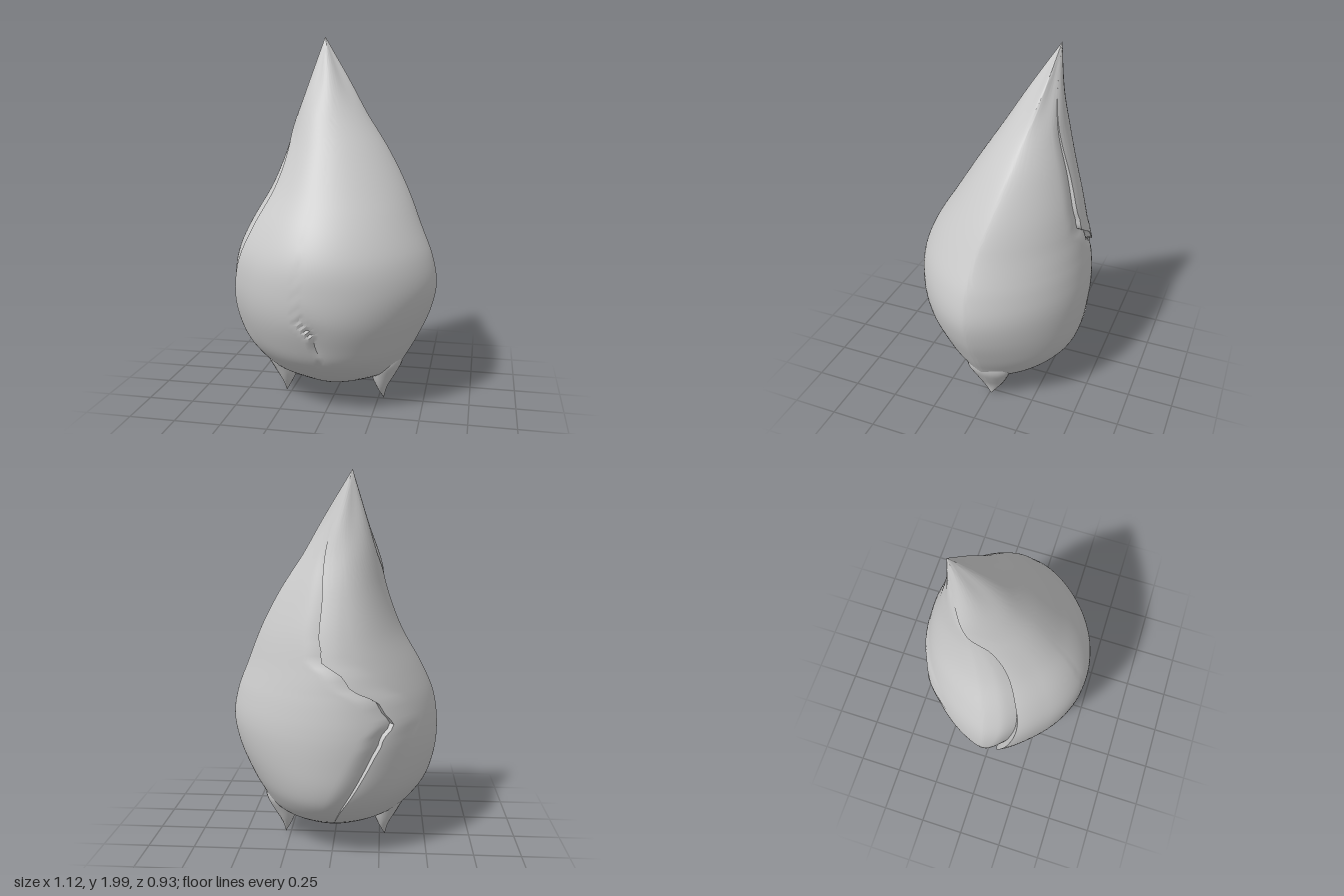
import * as THREE from 'three';
import { toCreasedNormals } from 'three/addons/utils/BufferGeometryUtils.js';

// Bulb extents by height: y, xMin, xMax, zBack, zFront, ridge x, ridge z
const BODY = [
  [0.095, 0, 0, -0.01, 0.01, 0, 0], [0.12, -0.12, 0.12, -0.12, 0.08, 0, 0],
  [0.15, -0.23, 0.23, -0.2, 0.14, 0, 0], [0.2, -0.35, 0.34, -0.29, 0.22, 0, 0],
  [0.3, -0.45, 0.41, -0.385, 0.33, 0, 0], [0.4, -0.51, 0.465, -0.43, 0.39, -0.01, 0],
  [0.55, -0.55, 0.53, -0.455, 0.45, -0.02, 0.01], [0.7, -0.555, 0.56, -0.465, 0.47, -0.03, 0.02],
  [0.85, -0.53, 0.535, -0.455, 0.46, -0.03, 0.02], [1, -0.465, 0.475, -0.435, 0.4, -0.03, 0],
  [1.2, -0.355, 0.39, -0.4, 0.275, -0.03, -0.05], [1.4, -0.28, 0.28, -0.35, 0.15, -0.04, -0.1],
  [1.6, -0.23, 0.145, -0.3, 0.02, -0.06, -0.15], [1.8, -0.165, 0.02, -0.262, -0.11, -0.08, -0.2],
  [2, -0.1, -0.1, -0.24, -0.24, -0.1, -0.24],
];
// Seam angles by height, in units of PI (0 = +x, 0.5 = front)
const SIDE_SEAM = [[0.095, 0.84], [0.3, 0.86], [0.45, 0.9], [0.7, 0.86], [1, 0.82], [1.4, 0.84], [1.6, 1.06], [2, 1.1]];
const BACK_SEAM = [[0.095, 1.5], [0.18, 1.49], [0.6, 1.38], [0.8, 1.33], [0.95, 1.44], [1.1, 1.545], [1.4, 1.58], [1.7, 1.67], [2, 1.7]];
// Front crease x by height
const CREASE = [[0.095, 0], [0.4, -0.02], [0.5, -0.05], [0.6, -0.11], [1.3, -0.06], [2, -0.1]];

// Smooth interpolation of one table column at height y
function sample(table, y, col) {
  let i = 0;
  while (i < table.length - 2 && y > table[i + 1][0]) i++;
  const slope = (k) => {
    const a = table[Math.max(k - 1, 0)], b = table[Math.min(k + 1, table.length - 1)];
    return (b[col] - a[col]) / (b[0] - a[0]);
  };
  const p = table[i], q = table[i + 1], h = q[0] - p[0], t = (y - p[0]) / h;
  return p[col] * (1 + 2 * t) * (1 - t) ** 2 + q[col] * t * t * (3 - 2 * t)
    + h * (slope(i) * t * (1 - t) ** 2 - slope(i + 1) * t * t * (1 - t));
}

const smooth = THREE.MathUtils.smoothstep;

// Point on the bulb at an angle and height, pushed in or out by offset
function bulbPoint(angle, y, offset) {
  const [x0, x1, z0, z1, xc, zc] = [1, 2, 3, 4, 5, 6].map((c) => sample(BODY, y, c));
  const c = Math.cos(angle), s = Math.sin(angle);
  const px = c * (c > 0 ? x1 - xc : xc - x0);
  const pz = Math.sign(s) * Math.abs(s) ** 1.4 * (s > 0 ? z1 - zc : zc - z0);
  // Pleats at the tip and the crease down the front
  let k = 1 + offset + 0.07 * Math.cos(5 * angle) * smooth(y, 1.55, 1.85);
  const dx = xc + px - sample(CREASE, y, 1);
  if (s > 0 && dx > 0) {
    const depth = 0.05 * smooth(y, 0.12, 0.45) * (1 - smooth(y, 0.5, 0.68))
      + 0.006 * smooth(y, 0.55, 0.7) * (1 - smooth(y, 1.1, 1.35));
    k -= depth * Math.exp(-dx / 0.06);
  }
  return [xc + px * k, y, zc + pz * k];
}

// Grid of points(row, column) turned into an outward-facing surface
function gridGeometry(rows, cols, point, crease) {
  const pos = [], index = [];
  for (let j = 0; j <= rows; j++) {
    for (let i = 0; i <= cols; i++) {
      pos.push(...point(j, i));
      if (j < rows && i < cols) {
        const a = j * (cols + 1) + i, c = a + cols + 1;
        index.push(a, c, a + 1, a + 1, c, c + 1);
      }
    }
  }
  const g = new THREE.BufferGeometry();
  g.setAttribute('position', new THREE.Float32BufferAttribute(pos, 3));
  g.setIndex(index);
  g.computeVertexNormals();
  return crease ? toCreasedNormals(g, crease) : g;
}

// Papery scale: tucked under its neighbour at the start, raised lip at the end
function scaleGeometry(startAngle, endAngle, cols) {
  const rows = 72;
  return gridGeometry(rows, cols, (j, i) => {
    const y = 0.095 + 1.905 * (j / rows) ** 1.35;
    const lift = smooth(y, 0.16, 0.4) * (1 - smooth(y, 1.55, 1.8));
    const start = startAngle(y), end = endAngle(y);
    const u = Math.min(i / (cols - 1), 1);
    const angle = start - 0.15 + (end - start + 0.15) * u;
    const tuck = 1 - smooth(angle - start, -0.15, 0.22);
    const lip = smooth(angle - end, -0.4, 0);
    let offset = lip * 0.022 * lift - tuck * (0.008 + 0.07 * lift);
    if (i === cols) offset -= 0.015 + 0.06 * lift;
    return bulbPoint(angle, y, offset);
  }, 0.8);
}

// Curved root spur: y, centre x, half width, half depth
const SPUR = [[0.015, 0.28, 0, 0], [0.06, 0.272, 0.018, 0.035], [0.1, 0.27, 0.036, 0.065],
  [0.17, 0.277, 0.07, 0.1], [0.25, 0.3, 0.085, 0.13], [0.34, 0.32, 0.07, 0.1]];
function spurGeometry(side) {
  const rows = 14, cols = 20;
  return gridGeometry(rows, cols, (j, i) => {
    const y = 0.015 + 0.325 * j / rows, a = i / cols * Math.PI * 2;
    return [side * sample(SPUR, y, 1) + sample(SPUR, y, 2) * Math.cos(a), y,
      sample(SPUR, y, 3) * Math.sin(a) - 0.01];
  });
}

export function createModel() {
  const group = new THREE.Group();
  group.name = 'bulb';
  const material = new THREE.MeshStandardMaterial({ color: 0xcccccc, side: THREE.DoubleSide });
  const add = (name, geometry) => {
    const mesh = new THREE.Mesh(geometry, material);
    mesh.name = name;
    group.add(mesh);
  };

  const sideSeam = (y) => Math.PI * sample(SIDE_SEAM, y, 1);
  // The back seam has a ragged edge around mid height
  const backSeam = (y) => Math.PI * sample(BACK_SEAM, y, 1)
    + 0.035 * Math.sin(y * 48) * smooth(y, 0.6, 0.75) * (1 - smooth(y, 1.05, 1.2));

  // Two overlapping scales wrap the bulb
  add('frontScale', scaleGeometry((y) => backSeam(y) - 2 * Math.PI, sideSeam, 110));
  add('sideScale', scaleGeometry(sideSeam, backSeam, 60));

  // Root spurs underneath
  add('leftRootSpur', spurGeometry(1));
  add('rightRootSpur', spurGeometry(-1));
  return group;
}
